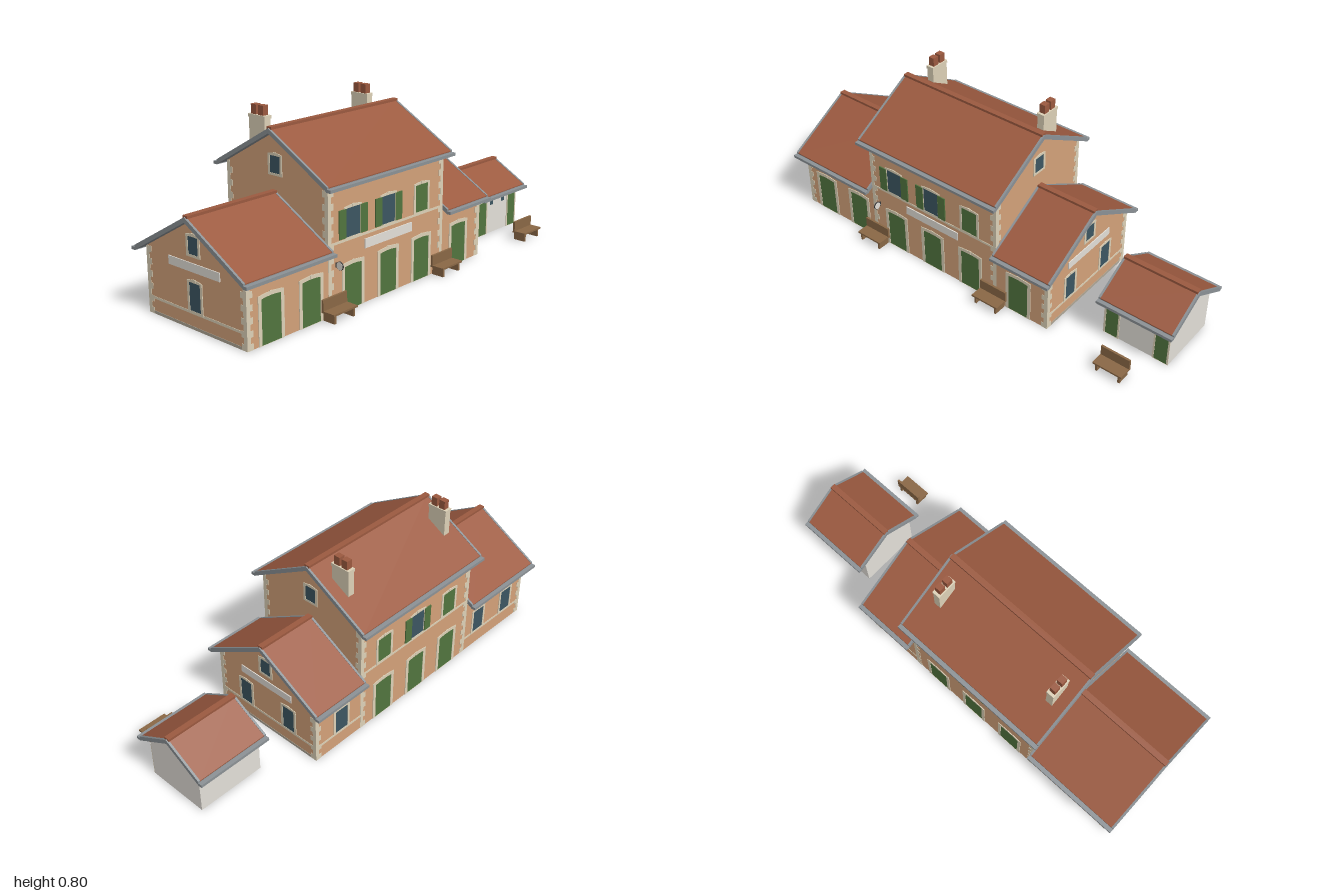
import * as THREE from 'three';

const mat = color => new THREE.MeshStandardMaterial({ color, flatShading: true });
const M = {
  wall: mat(0xd4a27a), inner: mat(0xe4e1da), cream: mat(0xded2b8), tile: mat(0x9c5a40), grey: mat(0x8c9296),
  green: mat(0x52753f), glass: mat(0x3c5662), white: mat(0xe4e0d9), wood: mat(0x8a6846), dark: mat(0x3a3a3a),
  plinth: mat(0xb0a796),
};
const CZ = -0.01;      // ridge line of every building
const SLOPE = 0.57;    // roof pitch
const HALF = 0.289;    // half depth of the station
const WALL = 0.03;     // wall thickness

function add(parent, geo, material, name, x = 0, y = 0, z = 0) {
  const m = new THREE.Mesh(geo, material);
  m.name = name;
  m.position.set(x, y, z);
  parent.add(m);
  return m;
}
const box = (p, mt, name, w, h, d, x, y, z) => add(p, new THREE.BoxGeometry(w, h, d), mt, name, x, y, z);

// Extrudes a (z, y) outline along x, centred on x = 0
function alongX(points, length) {
  const shape = new THREE.Shape(points.map(([z, y]) => new THREE.Vector2(-z, y)));
  return new THREE.ExtrudeGeometry(shape, { depth: length, bevelEnabled: false })
    .translate(0, 0, -length / 2).rotateY(Math.PI / 2);
}
// House outline: half depth h, underside of the ridge at r
const gable = (h, r) => [[h, 0], [h, r - SLOPE * h], [0, r], [-h, r - SLOPE * h], [-h, 0]];
// Roof outline: half depth h, top of the ridge, vertical thickness t
const chevron = (h, top, t) => [[h, top - SLOPE * h], [0, top], [-h, top - SLOPE * h],
  [-h, top - t - SLOPE * h], [0, top - t], [h, top - t - SLOPE * h]];

// Roof: slab, tile sheet between raised verges, ridge cap and gutters
function roof(parent, x0, x1, ridge, half) {
  const g = new THREE.Group();
  g.name = 'roof';
  g.position.set((x0 + x1) / 2, 0, CZ);
  parent.add(g);
  const L = x1 - x0, verge = 0.01;
  add(g, alongX(chevron(half, ridge - 0.006, 0.014), L - 2 * verge), M.grey, 'roofSlab');
  add(g, alongX(chevron(half, ridge - 0.002, 0.004), L - 2 * verge), M.tile, 'roofTiles');
  for (const s of [-1, 1]) {
    add(g, alongX(chevron(half, ridge, 0.021), verge), M.grey, 'vergeBoard', s * (L - verge) / 2);
    box(g, M.grey, 'gutter', L, 0.013, 0.022, 0, ridge - SLOPE * half - 0.015, s * (half + 0.008));
  }
  box(g, M.tile, 'ridgeCap', L - 0.01, 0.011, 0.026, 0, ridge, 0);
}

// Hollow gabled block, open underneath; wallL / wallR tell which ends have their own gable
function block(parent, name, x0, x1, ridge, wallL, wallR) {
  const g = new THREE.Group();
  g.name = name;
  parent.add(g);
  const r = ridge - 0.018, eave = r - SLOPE * HALF;
  const a = x0 + (wallL ? WALL : 0), b = x1 - (wallR ? WALL : 0), cx = (a + b) / 2;
  if (wallL) add(g, alongX(gable(HALF, r), WALL), M.wall, 'gableWall', x0 + WALL / 2, 0, CZ);
  if (wallR) add(g, alongX(gable(HALF, r), WALL), M.wall, 'gableWall', x1 - WALL / 2, 0, CZ);
  for (const x of [a + 0.001, b - 0.001])
    add(g, alongX(gable(HALF - WALL, r), 0.002), M.inner, 'gablePlaster', x, 0, CZ);
  for (const s of [-1, 1]) {
    box(g, M.wall, 'sideWall', b - a, eave, WALL, cx, eave / 2, CZ + s * (HALF - WALL / 2));
    box(g, M.inner, 'sidePlaster', b - a, eave, 0.002, cx, eave / 2, CZ + s * (HALF - WALL - 0.001));
  }
  return { g, eave };
}

// Alternating corner stones
function quoins(parent, x, sx, eave) {
  const n = Math.round(eave / 0.027), step = eave / n;
  for (const sz of [-1, 1])
    for (let i = 0; i < n; i++) {
      const a = i % 2 ? 0.018 : 0.031;
      box(parent, M.cream, 'cornerStone', a, step, a,
        x - sx * (a / 2 - 0.0015), (i + 0.5) * step, CZ + sz * (HALF + 0.0015 - a / 2));
    }
}

// Outline with a shallow arched top
function arched(w, h, rise) {
  const s = new THREE.Shape();
  s.moveTo(-w / 2, 0);
  s.lineTo(w / 2, 0);
  s.lineTo(w / 2, h - rise);
  s.quadraticCurveTo(0, h + rise, -w / 2, h - rise);
  s.closePath();
  return s;
}
const FACE = { front: 0, back: Math.PI, left: Math.PI / 2, right: -Math.PI / 2 };

// Door or window; local +z points out of the wall
function opening(parent, name, face, x, y, z, w, h, opt = {}) {
  const { panel = M.green, trim = 0.016, sill = 0, shutters = false, through = WALL + 0.004 } = opt;
  const g = new THREE.Group();
  g.name = name;
  g.position.set(x, y, z);
  g.rotation.y = FACE[face];
  parent.add(g);
  const rise = sill ? 0.0005 : 0.004;
  const frame = arched(w + 2 * trim, h + trim + sill, 0.006);
  const lift = new THREE.Vector2(0, sill || 0.0005);
  frame.holes.push(new THREE.Path(arched(w, h, rise).getPoints(6).map(p => p.add(lift))));
  const extrude = (s, depth) => new THREE.ExtrudeGeometry(s, { depth, bevelEnabled: false, curveSegments: 6 });
  add(g, extrude(frame, 0.003), M.cream, 'surround', 0, -sill, 0);
  add(g, extrude(arched(w, h, rise), through + 0.0015), panel, 'panel', 0, 0, -through);
  box(g, M.cream, 'keystone', 0.014, trim, 0.004, 0, h + trim * 0.65, 0.002);
  if (shutters)
    for (const s of [-1, 1])
      box(g, M.green, 'shutter', 0.04, h, 0.005, s * (w / 2 + 0.023), h / 2, 0.0035);
}

// Bench with plank legs and back rest
function bench(parent, x) {
  const g = new THREE.Group();
  g.name = 'bench';
  g.position.set(x, 0, 0.315);
  parent.add(g);
  box(g, M.wood, 'seat', 0.138, 0.008, 0.068, 0, 0.04, 0.002);
  box(g, M.wood, 'backRest', 0.138, 0.046, 0.01, 0, 0.067, -0.026);
  for (const s of [-1, 1]) box(g, M.wood, 'benchLeg', 0.01, 0.036, 0.06, s * 0.054, 0.018, 0);
}

// Chimney running from the floor up through the roof
function chimney(parent, x) {
  const g = new THREE.Group();
  g.name = 'chimney';
  g.position.set(x, 0, -0.139);
  parent.add(g);
  box(g, M.cream, 'stack', 0.034, 0.75, 0.092, 0, 0.375, 0);
  box(g, M.cream, 'stackCap', 0.038, 0.014, 0.097, 0, 0.749, 0);
  for (const s of [-1, 1]) box(g, M.tile, 'chimneyPot', 0.028, 0.042, 0.03, 0, 0.776, s * 0.021);
}

export function createModel() {
  const model = new THREE.Group();
  model.name = 'station';
  const ZF = CZ + HALF, ZB = CZ - HALF, XL = -0.53, XR = 0.19, XW = -0.962, XE = 0.463;
  const glass = { panel: M.glass, sill: 0.01, trim: 0.012 };

  // Main building and two wings
  const main = block(model, 'mainBuilding', XL, XR, 0.73, true, true);
  const west = block(model, 'longWing', XW, XL, 0.467, true, false);
  const east = block(model, 'shortWing', XR, XE, 0.467, false, true);
  quoins(main.g, XL, -1, main.eave);
  quoins(main.g, XR, 1, main.eave);
  quoins(west.g, XW, -1, west.eave);
  quoins(east.g, XE, 1, east.eave);
  roof(main.g, -0.565, 0.215, 0.73, 0.318);
  roof(west.g, -1, XL, 0.467, 0.318);
  roof(east.g, XR, 0.492, 0.467, 0.318);
  chimney(main.g, -0.488);
  chimney(main.g, 0.131);

  // Ground floor doors and wing windows
  const bays = [-0.388, -0.172, 0.045], wingBays = [-0.84, -0.628, 0.309];
  for (const x of [...bays, ...wingBays]) opening(model, 'frontDoor', 'front', x, 0, ZF, 0.1, 0.19);
  for (const x of bays) opening(model, 'backDoor', 'back', x, 0, ZB, 0.1, 0.19);
  for (const x of wingBays) opening(model, 'backWindow', 'back', x, 0.078, ZB, 0.072, 0.117, glass);

  // Upper floor windows, some with closed shutters
  const openShutters = { ...glass, shutters: true }, closed = { sill: 0.01, trim: 0.012 };
  bays.forEach((x, i) => {
    opening(model, 'upperWindow', 'front', x, 0.308, ZF, 0.08, 0.12, i < 2 ? openShutters : closed);
    opening(model, 'upperWindow', 'back', x, 0.308, ZB, 0.08, 0.12, i === 1 ? openShutters : closed);
  });

  // Gable windows, signs, sill bands and plinths
  for (const [face, xm, xw, s, zs] of [['left', XR, XE, 1, [0.119, -0.139]], ['right', XL, XW, -1, [CZ]]]) {
    opening(model, 'atticWindow', face, xm, 0.54, CZ, 0.056, 0.072, glass);
    opening(model, 'atticWindow', face, xw, 0.309, CZ, 0.056, 0.072, glass);
    for (const z of zs) opening(model, 'gableWindow', face, xw, 0.078, z, 0.064, 0.117, glass);
    box(model, M.white, 'gableSign', 0.004, 0.036, 0.3, xw + s * 0.002, 0.257, CZ);
    box(model, M.cream, 'sillBand', 0.002, 0.011, 0.53, xw + s * 0.0005, 0.07, CZ);
    box(model, M.plinth, 'plinth', 0.002, 0.013, 0.52, xw + s * 0.0005, 0.0065, CZ);
  }
  for (const [a, b] of [[XW + 0.03, XL], [XR, XE - 0.03]])
    box(model, M.cream, 'sillBand', b - a, 0.011, 0.002, (a + b) / 2, 0.07, ZB - 0.0005);
  for (const z of [ZF, ZB]) box(model, M.cream, 'stringCourse', XR - XL, 0.01, 0.004, (XL + XR) / 2, 0.298, z);
  box(model, M.white, 'frontSign', 0.298, 0.04, 0.005, -0.17, 0.255, ZF + 0.0025);

  // Two-faced clock on a bracket
  const clock = new THREE.Group();
  clock.name = 'clock';
  clock.position.set(-0.487, 0.21, 0.301);
  model.add(clock);
  add(clock, new THREE.CylinderGeometry(0.018, 0.018, 0.005, 20).rotateZ(Math.PI / 2), M.dark, 'clockCase');
  add(clock, new THREE.CylinderGeometry(0.0165, 0.0165, 0.007, 20).rotateZ(Math.PI / 2), M.white, 'clockFace');
  box(clock, M.dark, 'clockBracket', 0.004, 0.02, 0.006, 0, 0, -0.02);

  // Small outbuilding
  const shed = new THREE.Group();
  shed.name = 'outbuilding';
  model.add(shed);
  add(shed, alongX(gable(0.148, 0.292), 0.32), M.white, 'outbuildingWalls', 0.813, 0, CZ);
  roof(shed, 0.64, 1, 0.31, 0.18);
  for (const x of [0.695, 0.935])
    opening(shed, 'outbuildingDoor', 'front', x, 0, 0.138, 0.06, 0.165, { trim: 0.008, through: 0.002 });
  for (const x of [0.768, 0.862]) box(shed, M.glass, 'smallWindow', 0.025, 0.03, 0.003, x, 0.156, 0.138);
  for (const x of [0.69, 0.765, 0.84, 0.915]) box(shed, M.glass, 'smallWindow', 0.025, 0.03, 0.003, x, 0.156, -0.158);

  for (const x of [-0.508, 0.18, 0.815]) bench(model, x);
  return model;
}
